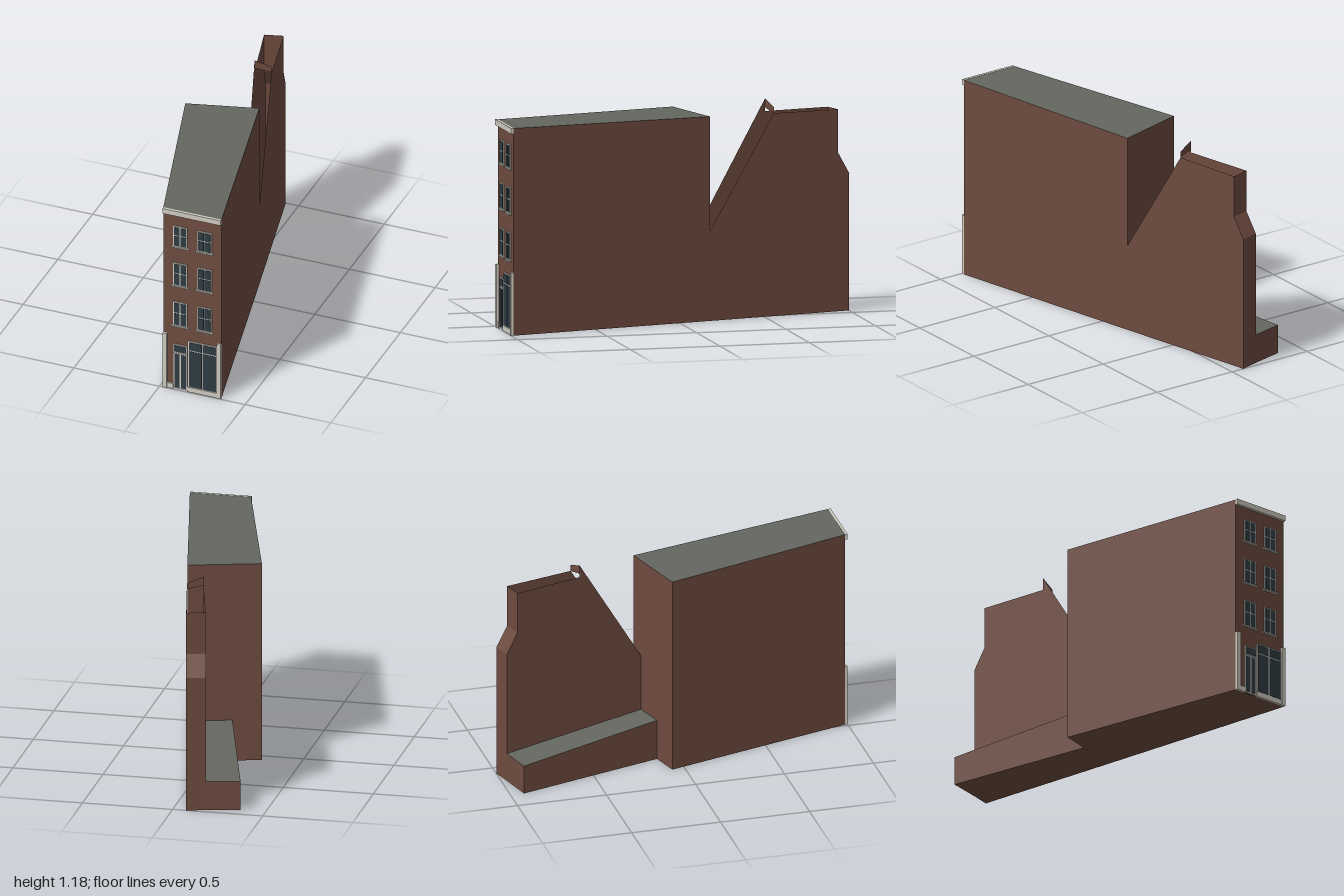
import * as THREE from 'three';

const mat = (name, color, side = THREE.FrontSide) => {
  const m = new THREE.MeshStandardMaterial({ color, side });
  m.name = name;
  return m;
};

export function createModel() {
  const model = new THREE.Group();
  model.name = 'townhouse';
  const brick = mat('brick', 0x6e4b3f, THREE.DoubleSide);
  const roofing = mat('roofing', 0x646660, THREE.DoubleSide);
  const trim = mat('trim', 0xcfccc0);
  const glass = mat('glass', 0x2f3c44);

  // Flat polygons, each fanned from its first corner
  function faces(name, material, polygons, parent = model) {
    const pos = [];
    for (const p of polygons)
      for (let i = 1; i < p.length - 1; i++) pos.push(...p[0], ...p[i], ...p[i + 1]);
    const g = new THREE.BufferGeometry();
    g.setAttribute('position', new THREE.Float32BufferAttribute(pos, 3));
    g.computeVertexNormals();
    const mesh = new THREE.Mesh(g, material);
    mesh.name = name;
    parent.add(mesh);
  }

  // Upright block: footprint corners [x, z, height], counter-clockwise from above
  function block(name, plan) {
    const group = new THREE.Group();
    group.name = name;
    const low = plan.map(([x, z]) => [x, 0, z]);
    const high = plan.map(([x, z, h]) => [x, h, z]);
    const walls = plan.map((_, i) => {
      const j = (i + 1) % plan.length;
      return [low[i], low[j], high[j], high[i]];
    });
    faces(name + 'Walls', brick, [...walls, [...low].reverse()], group);
    faces(name + 'Roof', roofing, [high], group);
    model.add(group);
  }

  block('mainHouse', [
    [0.016, 0.985, 1.134], [0.356, 0.985, 1.134],
    [0.105, -0.178, 1.118], [-0.284, -0.07, 1.12],
  ]);
  block('rearLeanTo', [
    [-0.13, -0.113, 0.23], [0.03, -0.157, 0.23],
    [-0.18, -0.97, 0.163], [-0.36, -0.925, 0.163],
  ]);

  // Tall narrow rear shell, open at the top; t runs from the house to the back
  const outer = (t, y) => [0.105 - 0.18 * t, y, -0.178 - 0.822 * t];
  const inner = (t, y) => [0.03 - 0.21 * t, y, -0.157 - 0.813 * t];
  const back = [[1, 0], [1, 0.755], [0.921, 0.87], [0.921, 1.105]];
  const peak = 0.459;
  const shell = [
    [[0, 0], ...back, [peak, 1.11], [0, 0.49]].map(([t, y]) => outer(t, y)),
    [[0, 0], ...back, [peak, 1.11], [peak, 1.18], [0, 0.55]].map(([t, y]) => inner(t, y)).reverse(),
    [inner(0, 0), inner(1, 0), outer(1, 0), outer(0, 0)],
    [inner(peak, 1.13), outer(peak, 1.11), outer(peak, 1.145), inner(peak, 1.18)],
  ];
  for (let i = 0; i < back.length - 1; i++) {
    const [a, b] = [back[i], back[i + 1]];
    shell.push([outer(...a), inner(...a), inner(...b), outer(...b)]);
  }
  faces('rearShell', brick, shell);

  // Facade pieces given by their edges in x and y, standing off the front wall
  const wallZ = 0.985;
  function panel(name, material, x0, x1, y0, y1, depth, parent = model, z = wallZ) {
    const mesh = new THREE.Mesh(new THREE.BoxGeometry(x1 - x0, y1 - y0, depth), material);
    mesh.position.set((x0 + x1) / 2, (y0 + y1) / 2, z + depth / 2);
    mesh.name = name;
    parent.add(mesh);
  }

  // Trim-coloured backing with a grid of glass panes between the given bars
  function glazed(name, x0, x1, y0, y1, xBars, yBars, edge = 0.006, bar = 0.006) {
    const group = new THREE.Group();
    group.name = name;
    panel('frame', trim, x0, x1, y0, y1, 0.006, group);
    const spans = (a, b, bars) => {
      const cuts = [a + edge - bar / 2, ...bars, b - edge + bar / 2];
      return cuts.slice(1).map((c, i) => [cuts[i] + bar / 2, c - bar / 2]);
    };
    for (const [xa, xb] of spans(x0, x1, xBars))
      for (const [ya, yb] of spans(y0, y1, yBars))
        panel('pane', glass, xa, xb, ya, yb, 0.002, group, wallZ + 0.006);
    model.add(group);
  }

  // Sash windows with sills
  for (const [y0, y1] of [[0.403, 0.553], [0.658, 0.8], [0.905, 1.034]])
    for (const x0 of [0.075, 0.217]) {
      const x1 = x0 + 0.082;
      glazed('sashWindow', x0, x1, y0, y1, [(x0 + x1) / 2], [y0 + (y1 - y0) * 0.54]);
      panel('windowSill', trim, x0 - 0.01, x1 + 0.01, y0 - 0.007, y0, 0.013);
    }

  // Shopfront
  glazed('frontDoor', 0.077, 0.158, 0.004, 0.229, [0.1175], [], 0.007, 0.009);
  glazed('doorTransom', 0.077, 0.158, 0.231, 0.283, [], []);
  glazed('shopWindow', 0.164, 0.333, 0.028, 0.32, [0.247], [0.261], 0.006, 0.007);
  panel('leftPilaster', trim, 0.016, 0.041, 0, 0.344, 0.015);
  panel('rightPilaster', trim, 0.333, 0.356, 0, 0.344, 0.015);
  panel('plinth', trim, 0.041, 0.077, 0, 0.031, 0.011);
  panel('shopPlinth', trim, 0.158, 0.333, 0, 0.03, 0.011);

  // Cornice
  panel('cornice', trim, 0.016, 0.356, 1.104, 1.135, 0.015);
  return model;
}
